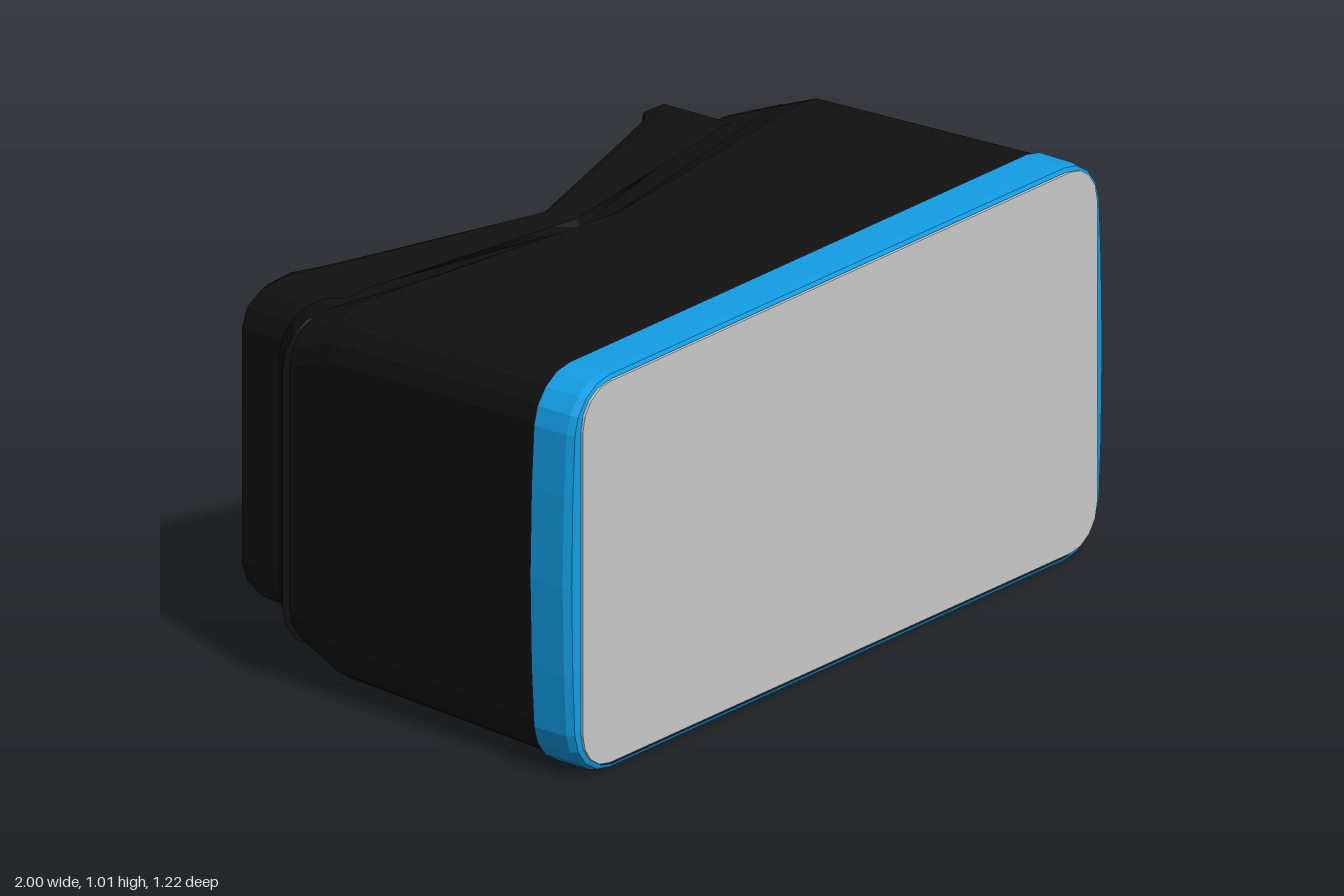
import * as THREE from 'three';

const mat = (color, flatShading = true) => new THREE.MeshStandardMaterial({ color, flatShading });

const EDGE = [0.8, 0.6, 0.4, 0.25, 0.12, 0, -0.12, -0.25, -0.4, -0.6, -0.8];
const SIDE = [-0.6, 0, 0.6];

// Rounded-rectangle section, counter-clockwise from the front.
// z is [centre, near corner, side]; notch lifts the bottom for the nose.
function section({ hw, y0, y1, r, z, notch = 0, bulge = 0 }) {
  const cy = (y0 + y1) / 2, hx = hw - r, hy = (y1 - y0) / 2 - r;
  const flat = [];
  const arc = (sx, sy, start) => {
    for (let k = 0; k <= 4; k++) {
      const a = start + (k / 4) * (Math.PI / 2);
      flat.push([sx * hx + r * Math.cos(a), sy * hy + r * Math.sin(a)]);
    }
  };
  arc(1, -1, -Math.PI / 2);
  SIDE.forEach(s => flat.push([hw, s * hy]));
  arc(1, 1, 0);
  EDGE.forEach(s => flat.push([s * hx, hy + r]));
  arc(-1, 1, Math.PI / 2);
  SIDE.forEach(s => flat.push([-hw, -s * hy]));
  arc(-1, -1, Math.PI);
  EDGE.forEach(s => flat.push([-s * hx, -hy - r]));

  return flat.map(([x, y]) => {
    const t = Math.abs(x) / hw;
    const depth = t < 0.82
      ? THREE.MathUtils.lerp(z[0], z[1], t / 0.82)
      : THREE.MathUtils.lerp(z[1], z[2], (t - 0.82) / 0.18);
    const lift = y < -hy - r * 0.9 ? notch * (1 - THREE.MathUtils.smoothstep(Math.abs(x), 0.12, 0.27)) : 0;
    const swell = bulge * Math.sign(x) * t ** 8 * (1 - (y / (hy + r)) ** 2);
    return [x + swell, cy + y + lift, depth];
  });
}

// Skin a row of sections ordered front to back, with optional end caps.
function loft(specs, { capFront = false, capBack = false } = {}) {
  const rings = specs.map(section), n = rings[0].length;
  const pos = rings.flat(2), index = [];
  for (let i = 0; i < rings.length - 1; i++) {
    for (let j = 0; j < n; j++) {
      const k = (j + 1) % n;
      const a = i * n + j, b = (i + 1) * n + j, c = (i + 1) * n + k, d = i * n + k;
      index.push(a, b, c, a, c, d);
    }
  }
  const cap = (i, flip) => {
    const s = specs[i], centre = pos.length / 3;
    pos.push(0, (s.y0 + s.y1) / 2, s.z[0]);
    for (let j = 0; j < n; j++) {
      const a = i * n + j, b = i * n + (j + 1) % n;
      index.push(centre, flip ? b : a, flip ? a : b);
    }
  };
  if (capFront) cap(0, false);
  if (capBack) cap(specs.length - 1, true);
  const g = new THREE.BufferGeometry();
  g.setAttribute('position', new THREE.Float32BufferAttribute(pos, 3));
  g.setIndex(index);
  g.computeVertexNormals();
  return g;
}

const level = z => [z, z, z];

export function createModel() {
  const model = new THREE.Group();
  const add = (name, geometry, material) => {
    const mesh = new THREE.Mesh(geometry, material);
    mesh.name = name;
    model.add(mesh);
    return mesh;
  };
  const black = mat(0x111111), blue = mat(0x129ee6), grey = mat(0xcccccc);

  // Housing, side flange, face guard, padded rim, inner walls and lens panel
  add('housing', loft([
    { hw: 0.965, y0: 0.005, y1: 1.01, r: 0.12, z: level(0.49) },
    { hw: 0.945, y0: 0.03, y1: 0.99, r: 0.12, z: [-0.07, -0.17, -0.19] },
    { hw: 0.94, y0: 0.085, y1: 0.945, r: 0.12, z: [-0.13, -0.27, -0.31] },
    { hw: 0.96, y0: 0.09, y1: 0.94, r: 0.12, z: [-0.135, -0.28, -0.315] },
    { hw: 0.86, y0: 0.11, y1: 0.92, r: 0.12, z: [-0.19, -0.36, -0.41] },
    { hw: 0.80, y0: 0.09, y1: 0.94, r: 0.13, z: [-0.2, -0.3, -0.34] },
    { hw: 0.79, y0: 0.08, y1: 0.94, r: 0.13, z: [-0.28, -0.47, -0.58], notch: 0.2 },
    { hw: 0.74, y0: 0.09, y1: 0.93, r: 0.13, z: [-0.3, -0.49, -0.61], notch: 0.2 },
    { hw: 0.67, y0: 0.17, y1: 0.84, r: 0.1, z: [-0.28, -0.46, -0.54], notch: 0.15 },
    { hw: 0.63, y0: 0.2, y1: 0.81, r: 0.09, z: level(-0.13), notch: 0.12 },
  ], { capBack: true }), black);

  // Coloured frame with gently bowed sides
  add('frontFrame', loft([
    { hw: 0.955, y0: 0.015, y1: 1.0, r: 0.11, z: level(0.605) },
    { hw: 0.97, y0: 0.005, y1: 1.01, r: 0.12, z: level(0.6), bulge: 0.02 },
    { hw: 0.975, y0: 0, y1: 1.012, r: 0.12, z: level(0.58), bulge: 0.025 },
    { hw: 0.975, y0: 0, y1: 1.012, r: 0.12, z: level(0.48), bulge: 0.025 },
    { hw: 0.95, y0: 0.02, y1: 0.99, r: 0.12, z: level(0.478) },
  ]), blue);

  // Front plate
  add('frontPlate', loft([
    { hw: 0.96, y0: 0.022, y1: 0.998, r: 0.1, z: level(0.61) },
    { hw: 0.96, y0: 0.022, y1: 0.998, r: 0.1, z: level(0.6) },
  ], { capFront: true }), grey);

  // Lenses in their holders, facing the back
  for (const [side, x] of [['left', 0.345], ['right', -0.345]]) {
    const holder = add(side + 'LensHolder', new THREE.CylinderGeometry(0.2, 0.215, 0.03, 12), black);
    holder.rotation.x = -Math.PI / 2;
    holder.position.set(x, 0.5, -0.13);
    const lens = add(side + 'Lens', new THREE.CircleGeometry(0.18, 12), grey);
    lens.rotation.y = Math.PI;
    lens.position.set(x, 0.5, -0.148);
  }
  return model;
}
